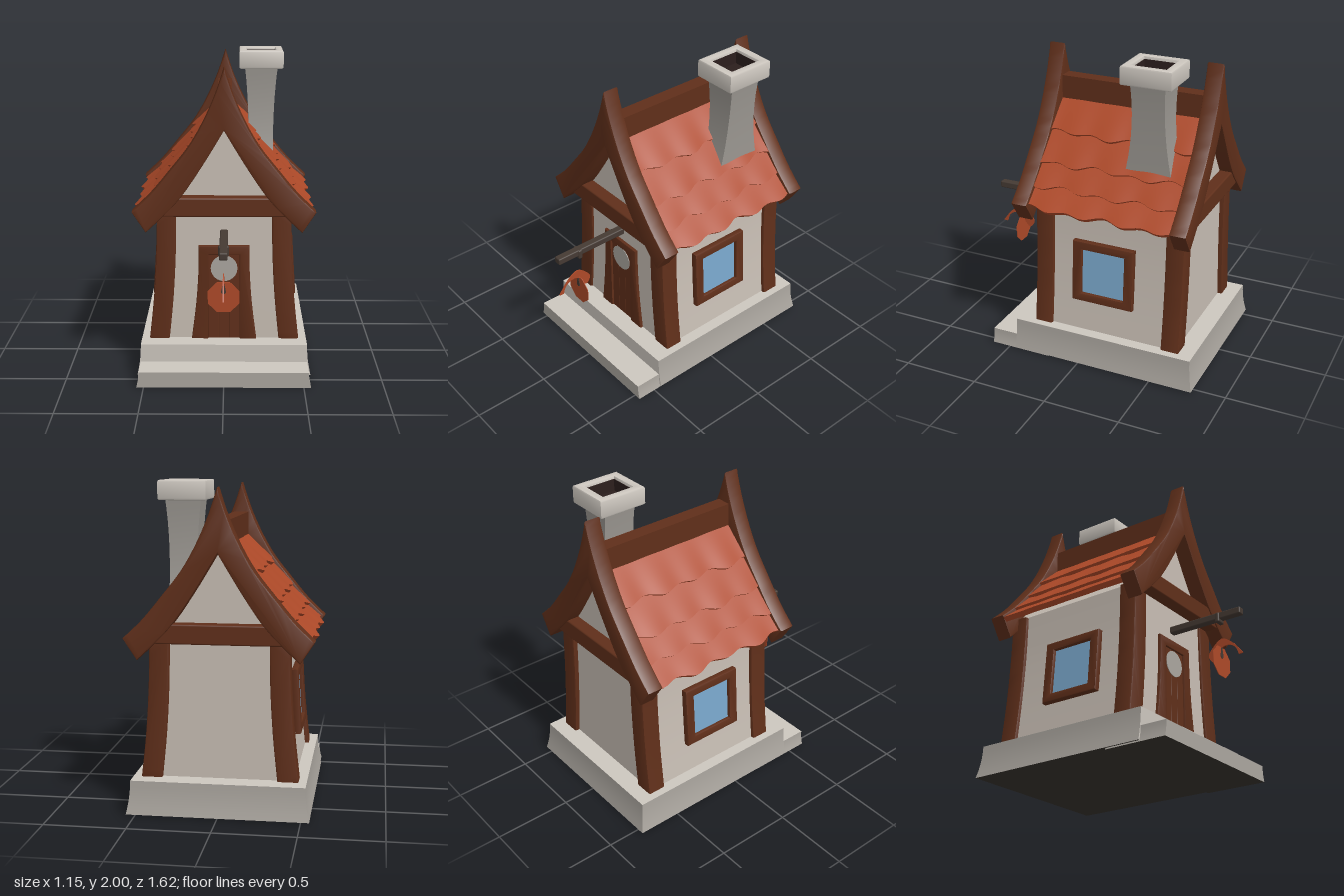
import * as THREE from 'three';
import { toCreasedNormals } from 'three/addons/utils/BufferGeometryUtils.js';
import { RoundedBoxGeometry } from 'three/addons/geometries/RoundedBoxGeometry.js';

const mat = (name, color) => {
  const m = new THREE.MeshStandardMaterial({ color });
  m.name = name;
  return m;
};

export function createModel() {
  const model = new THREE.Group();
  model.name = 'cottage';
  const plaster = mat('plaster', 0xc8beb4);
  const paleStone = mat('paleStone', 0xcdc7bf);
  const stone = mat('stone', 0xaba69f);
  const greyStone = mat('greyStone', 0x9b9791);
  const wood = mat('wood', 0x602f1a);
  const tile = mat('roofTile', 0xad4928);
  const glass = mat('glass', 0x7aa8cc);
  const darkWood = mat('darkWood', 0x453a33);
  const soot = mat('soot', 0x2c1f1d);
  const earth = mat('earth', 0x38342e);

  const add = (name, geo, material, x = 0, y = 0, z = 0, parent = model) => {
    const m = new THREE.Mesh(geo, material);
    m.name = name;
    m.position.set(x, y, z);
    parent.add(m);
    return m;
  };
  const v2 = (pts, sx = 1) => pts.map(([x, y]) => new THREE.Vector2(sx * x, y));
  const curve = (pts, n = 12) => new THREE.SplineCurve(v2(pts)).getPoints(n).map((p) => [p.x, p.y]);
  const mirrored = (pts) => pts.map(([x, y]) => [-x, y]).reverse();
  // Extrude an outline to an overall depth, with a small bevel kept inside it
  const slab = (pts, depth, bevel = 0, hole, sx = 1) => {
    const shape = new THREE.Shape(v2(pts, sx));
    if (hole) shape.holes.push(new THREE.Path(v2(hole)));
    const g = new THREE.ExtrudeGeometry(shape, {
      depth: depth - 2 * bevel, bevelEnabled: bevel > 0, bevelSize: bevel,
      bevelThickness: bevel, bevelOffset: -bevel, bevelSegments: 2,
    });
    g.translate(0, 0, bevel);
    return toCreasedNormals(g, 0.6);
  };
  const rect = (w, h) => [[-w, -h], [w, -h], [w, h], [-w, h]];
  const deform = (g, rule) => {
    const p = g.attributes.position;
    for (let i = 0; i < p.count; i++) p.setXYZ(i, ...rule(p.getX(i), p.getY(i), p.getZ(i)));
    g.computeVertexNormals();
    return g;
  };

  // Stone foundation, flared at the foot except in front, with a full-width step
  const flare = (w, h, d, out) => deform(new THREE.BoxGeometry(w, h, d, 1, 5, 1), (x, y, z) => {
    const t = 0.5 - y / h;
    const k = out * t * t;
    return [x + Math.sign(x) * k, y, z < 0 ? z - k : z];
  });
  add('foundation', flare(1.055, 0.205, 1.215, 0.025), [stone, stone, paleStone, earth, paleStone, stone], 0, 0.1125, -0.1575);
  add('frontStep', flare(1.06, 0.1, 0.4, 0.015), [stone, stone, paleStone, earth, stone, stone], 0, 0.05, 0.425);

  // Plaster body with inward-curving sides and gables
  const side = [...curve([[0.455, 0.2], [0.425, 0.5], [0.405, 0.8], [0.4, 1.05]]), [0.4, 1.1]];
  add('walls', slab([...side, [0, 1.6], ...mirrored(side)], 0.96), plaster, 0, 0, -0.64);

  // Curved corner posts
  const post = [
    ...curve([[0.48, 0.2], [0.447, 0.5], [0.428, 0.8], [0.42, 1.1]]),
    ...curve([[0.3, 1.1], [0.305, 0.8], [0.322, 0.5], [0.352, 0.2]]),
  ];
  for (const s of [1, -1]) {
    for (const z of [0.215, -0.67]) add('cornerPost', slab(post, 0.12, 0.01, null, s), wood, 0, 0, z);
  }

  // Sweeping gable frames and cross beams at each end
  const outer = curve([[0, 1.965], [0.055, 1.8], [0.13, 1.63], [0.22, 1.475], [0.33, 1.335], [0.45, 1.19], [0.57, 1.075]], 20);
  const inner = curve([[0.485, 0.945], [0.375, 1.05], [0.265, 1.17], [0.13, 1.37], [0, 1.585]], 14);
  const half = [...outer, ...inner];
  const gable = [...half, ...mirrored(half.slice(1, -1))];
  for (const z of [0.325, -0.73]) {
    add('gableFrame', slab(gable, 0.108, 0.01), wood, 0, 0, z);
    add('crossBeam', new RoundedBoxGeometry(0.76, 0.12, 0.09, 2, 0.01), wood, 0, 1.105, z + 0.054);
  }
  add('ridgeBeam', new THREE.BoxGeometry(0.095, 0.2, 0.98), wood, 0, 1.67, -0.147);

  // Overlapping rows of wavy tiles
  const rows = [[0.02, 1.645], [0.205, 1.445], [0.337, 1.285], [0.437, 1.16], [0.54, 1.052]];
  const tileRow = (a, b, phase) => {
    const len = Math.hypot(b[0] - a[0], b[1] - a[1]);
    const dx = (b[0] - a[0]) / len, dy = (b[1] - a[1]) / len;
    return deform(new THREE.BoxGeometry(1, 0.036, 0.96, 6, 1, 48), (x, y, z) => {
      const t = x + 0.5;
      const wave = Math.sin(z * 25 + phase) * 0.65 + Math.sin(z * 13 + phase * 2) * 0.35;
      const along = -0.03 + t * (len + 0.03 + 0.022 * wave);
      const h = y - 0.018 + 0.022 * t + 0.006 * t * wave;
      return [a[0] + dx * along - dy * h, a[1] + dy * along + dx * h, z];
    });
  };
  for (const turn of [0, Math.PI]) {
    const roof = new THREE.Group();
    roof.name = 'roofSlope';
    roof.position.z = -0.145;
    roof.rotation.y = turn;
    model.add(roof);
    for (let i = 0; i < 4; i++) add('tileRow', tileRow(rows[i], rows[i + 1], i * 1.9 + turn), tile, 0, 0, 0, roof);
  }

  // Side windows, tilted with the walls
  for (const s of [1, -1]) {
    const win = new THREE.Group();
    win.name = 'sideWindow';
    win.position.set(s * 0.407, 0.63, -0.138);
    win.rotation.set(-0.065, s * Math.PI / 2, 0, 'YXZ');
    model.add(win);
    add('windowFrame', slab(rect(0.208, 0.205), 0.05, 0.01, rect(0.145, 0.15)), wood, 0, 0, 0, win);
    add('windowGlass', new THREE.BoxGeometry(0.31, 0.32, 0.008), glass, 0, 0, 0.022, win);
  }

  // Front door: tapered surround, planks and a round light
  const jamb = curve([[0.208, 0.21], [0.178, 0.45], [0.163, 0.66], [0.16, 0.835]]);
  const surround = [...jamb, ...mirrored(jamb), [-0.1, 0.21], [-0.098, 0.775], [0.098, 0.775], [0.1, 0.21]];
  add('doorSurround', slab(surround, 0.045, 0.008), wood, 0, 0, 0.296);
  for (let i = -1; i <= 1; i++) {
    add('doorPlank', new RoundedBoxGeometry(0.067, 0.57, 0.03, 2, 0.003), wood, i * 0.066, 0.495, 0.312);
  }
  add('doorLight', new THREE.CylinderGeometry(0.085, 0.085, 0.008, 24).rotateX(Math.PI / 2), stone, 0, 0.685, 0.327);

  // Sign pole, collar and hanging sign
  add('signPole', new RoundedBoxGeometry(0.05, 0.045, 0.52, 2, 0.008), darkWood, 0, 0.914, 0.57);
  add('poleCollar', new RoundedBoxGeometry(0.066, 0.066, 0.03, 2, 0.01), darkWood, 0, 0.903, 0.67);
  add('signBoard', new THREE.CylinderGeometry(0.103, 0.103, 0.004, 8).rotateY(Math.PI / 8).rotateX(Math.PI / 2), tile, 0, 0.613, 0.675);
  add('signDrop', slab([[0, 0.72], [0.016, 0.645], [0, 0.63], [-0.016, 0.645]], 0.004), darkWood, 0, 0, 0.678);
  const ribbon = curve([[0.828, 0.635], [0.802, 0.67], [0.757, 0.722], [0.685, 0.764], [0.62, 0.72], [0.588, 0.67],
    [0.618, 0.623], [0.655, 0.655], [0.683, 0.705], [0.738, 0.71], [0.78, 0.68], [0.798, 0.634]], 36);
  add('signRibbon', slab(ribbon, 0.008).rotateY(-Math.PI / 2), tile, 0.004, 0, 0);

  // Chimney: waisted shaft, hollow cap and sooty flue
  const cx = 0.241, cz = -0.384;
  add('chimneyShaft', deform(new THREE.BoxGeometry(1, 0.7, 1, 1, 10, 1), (x, y, z) => {
    const t = y / 0.7 + 0.5;
    return [x * (0.16 + 0.06 * t * t * t), y, z * (0.2 + 0.16 * (t - 0.6) ** 2 + 0.1 * (1 - t) ** 2)];
  }), greyStone, cx, 1.55, cz);
  add('chimneyCap', slab(rect(0.145, 0.162), 0.12, 0.012, rect(0.095, 0.108)).rotateX(-Math.PI / 2), paleStone, cx, 1.88, cz);
  add('flueLining', slab(rect(0.098, 0.111), 0.095, 0, rect(0.092, 0.105)).rotateX(-Math.PI / 2), soot, cx, 1.885, cz);
  add('flueFloor', new THREE.BoxGeometry(0.2, 0.008, 0.22), soot, cx, 1.9, cz);

  return model;
}
